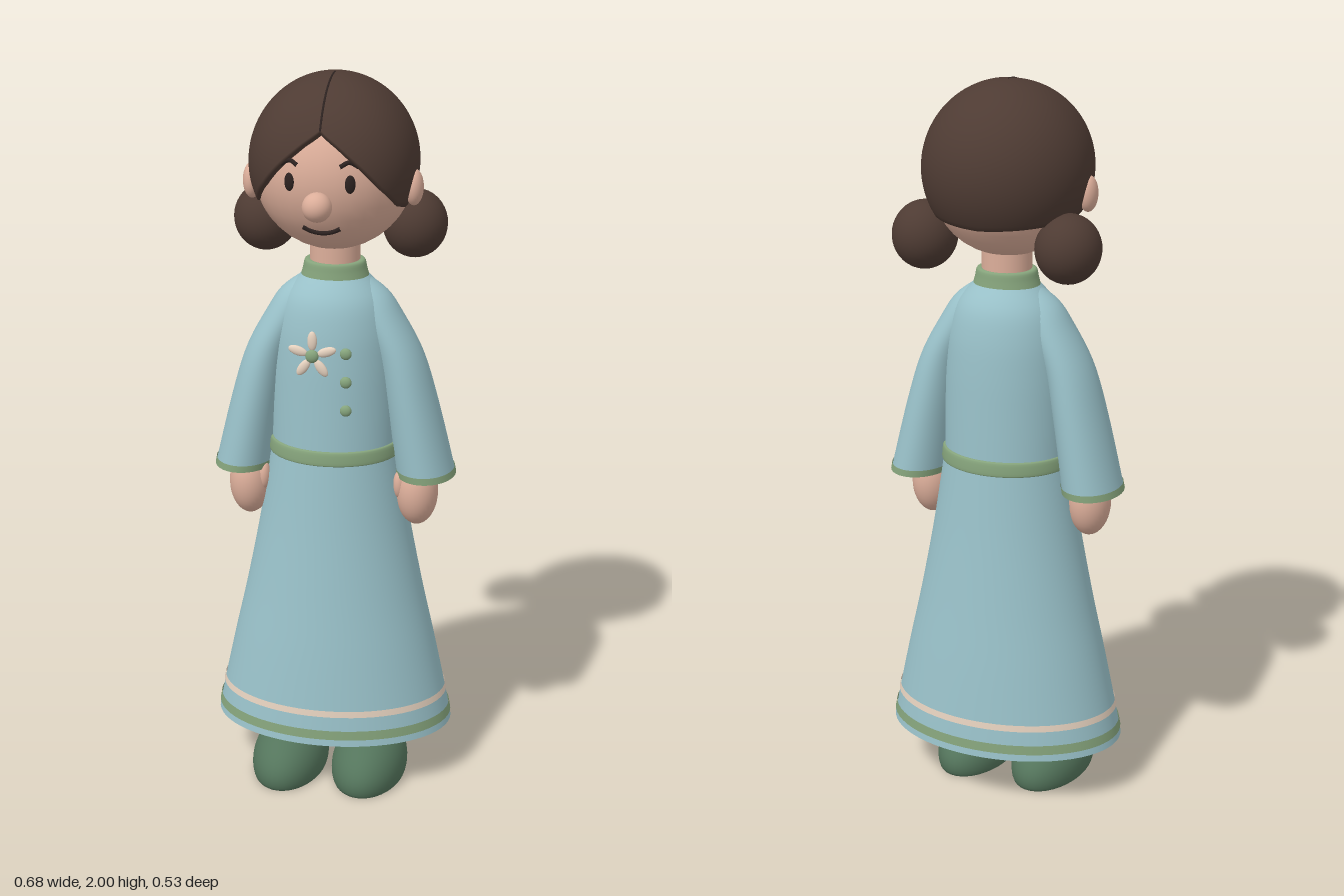
import * as THREE from 'three';

const mat = (name, color, double) => {
  const m = new THREE.MeshStandardMaterial({ color });
  m.name = name;
  if (double) m.side = THREE.DoubleSide;
  return m;
};

// Smooth closed grid: rows of points wrapped around an axis
function wrapGrid(rows, cols, point) {
  const pos = [], idx = [];
  for (let i = 0; i <= rows; i++)
    for (let j = 0; j < cols; j++) pos.push(...point(i / rows, j / cols));
  for (let i = 0; i < rows; i++)
    for (let j = 0; j < cols; j++) {
      const a = i * cols + j, b = i * cols + (j + 1) % cols;
      idx.push(a, a + cols, b, b, a + cols, b + cols);
    }
  const g = new THREE.BufferGeometry();
  g.setAttribute('position', new THREE.Float32BufferAttribute(pos, 3));
  g.setIndex(idx);
  g.computeVertexNormals();
  return g;
}

// Loft through elliptical rings [y, centreX, radiusX, centreZ, radiusZ], listed bottom to top
function loft(rings, rows = 24) {
  const curves = [1, 2, 3, 4].map(k =>
    new THREE.SplineCurve(rings.map(r => new THREE.Vector2(r[0], r[k]))));
  return wrapGrid(rows, 64, (u, v) => {
    const [cx, rx, cz, rz] = curves.map(c => c.getPoint(u).y);
    const a = v * Math.PI * 2;
    return [cx + rx * Math.cos(a), curves[0].getPoint(u).x, cz + rz * Math.sin(a)];
  });
}

export function createModel() {
  const model = new THREE.Group();
  model.name = 'girl';
  const skin = mat('skin', 0xdcae9a);
  const hair = mat('hair', 0x4e3b33, true);
  const dress = mat('dress blue', 0x9ac2ca, true);
  const trim = mat('trim green', 0x86a47c, true);
  const shoe = mat('shoe green', 0x54755c);
  const cream = mat('cream', 0xe6d2bf, true);
  const dark = mat('dark features', 0x2c2220);

  const add = (name, geo, material, parent = model) => {
    const m = new THREE.Mesh(geo, material);
    m.name = name;
    parent.add(m);
    return m;
  };
  const ball = (name, material, p, s, parent = model) => {
    const m = add(name, new THREE.SphereGeometry(1, 32, 20), material, parent);
    m.position.set(...p);
    m.scale.set(...s);
    return m;
  };
  const tube = (name, pts, r, material) =>
    add(name, new THREE.TubeGeometry(new THREE.CatmullRomCurve3(pts), 24, r, 8), material);

  // Dress
  add('skirt', loft([
    [0.15, 0, 0.335, -0.02, 0.24], [0.25, 0, 0.315, -0.02, 0.23], [0.4, 0, 0.283, -0.02, 0.214],
    [0.56, 0, 0.247, -0.02, 0.195], [0.76, 0, 0.208, -0.02, 0.173], [0.97, 0, 0.175, -0.02, 0.153]]), dress);
  add('bodice', loft([
    [0.97, 0, 0.173, -0.02, 0.15], [1.1, 0, 0.172, -0.02, 0.148], [1.22, 0, 0.169, -0.02, 0.145],
    [1.32, 0, 0.16, -0.02, 0.137], [1.4, 0, 0.135, -0.02, 0.117], [1.465, 0, 0.08, -0.02, 0.072]]), dress);
  add('belt', loft([[0.952, 0, 0.177, -0.02, 0.155], [0.956, 0, 0.182, -0.02, 0.16],
    [0.988, 0, 0.179, -0.02, 0.157], [0.992, 0, 0.171, -0.02, 0.149]], 12), trim);
  add('hemGreenBand', loft([[0.17, 0, 0.334, -0.02, 0.241], [0.196, 0, 0.329, -0.02, 0.2385]], 2), trim);
  add('hemCreamBand', loft([[0.236, 0, 0.321, -0.02, 0.2345], [0.254, 0, 0.317, -0.02, 0.2325]], 2), cream);
  add('collar', loft([[1.445, 0, 0.094, -0.02, 0.082], [1.47, 0, 0.087, -0.02, 0.078],
    [1.493, 0, 0.081, -0.02, 0.074], [1.495, 0, 0.065, -0.02, 0.062]], 12), trim);
  const neck = add('neck', new THREE.CylinderGeometry(0.068, 0.068, 0.15, 32), skin);
  neck.position.set(0, 1.51, -0.02);

  // Head, nose and mouth
  const HY = 1.745, HZ = -0.01, HR = 0.215;
  const onFace = (x, y, off = 0) =>
    new THREE.Vector3(x, y, HZ + Math.sqrt((HR + off) ** 2 - x * x - (y - HY) ** 2));
  ball('head', skin, [0, HY, HZ], [HR, HR, HR]);
  ball('nose', skin, [0, 1.695, 0.226], [0.039, 0.039, 0.039]);
  tube('mouth', [-0.05, -0.027, 0, 0.027, 0.05].map(x => onFace(x, 1.61 + 6 * x * x, 0.002)), 0.006, dark);

  // Hair cap, trimmed to a parted fringe and tucked in along its edge
  const edge = [[0, 61], [13, 71], [26, 83], [42, 99], [60, 113], [80, 119], [180, 124]];
  const edgeAngle = deg => {
    const k = Math.max(1, edge.findIndex(e => e[0] >= deg));
    const [a, b] = [edge[k - 1], edge[k]];
    return a[1] + (b[1] - a[1]) * (deg - a[0]) / (b[0] - a[0]);
  };
  const ROWS = 33;
  add('hairCap', wrapGrid(ROWS, 120, (u, v) => {
    const az = v * Math.PI * 2, deg = v > 0.5 ? 360 - v * 360 : v * 360;
    const th = Math.min(1, u * ROWS / (ROWS - 1)) * edgeAngle(deg) * Math.PI / 180;
    const bulge = deg < 90 ? 1 + 0.045 * Math.sin(2 * az) ** 2 * Math.sin(th) ** 2 : 1;
    const r = 0.233 * bulge * (u > 0.999 ? 0.88 : 1);
    return [r * 0.97 * Math.sin(th) * Math.sin(az), 1.767 + r * Math.cos(th),
      -0.018 + r * Math.sin(th) * Math.cos(az)];
  }), hair);
  const part = [];
  for (let d = 0; d <= 60; d += 10) {
    const t = d * Math.PI / 180;
    part.push(new THREE.Vector3(0, 1.766 + 0.232 * Math.cos(t), -0.018 + 0.232 * Math.sin(t)));
  }
  tube('hairParting', part, 0.0035, dark);

  // Mirrored parts
  for (const s of [1, -1]) {
    const side = s > 0 ? 'left' : 'right';
    const name = n => side + n;
    const eye = ball(name('Eye'), dark, onFace(s * 0.08, 1.75, 0.001).toArray(), [0.014, 0.024, 0.007]);
    eye.rotation.y = s * 0.38;
    tube(name('Brow'), [[0.055, 1.797], [0.078, 1.808], [0.102, 1.796]]
      .map(([x, y]) => onFace(s * x, y, 0.012)), 0.006, dark);
    ball(name('Ear'), skin, [s * 0.218, 1.708, 0.013], [0.025, 0.049, 0.034]);
    ball(name('Bun'), hair, [s * 0.205, 1.583, -0.095], [0.088, 0.093, 0.094]);

    add(name('Sleeve'), loft([
      [0.9, s * 0.255, 0.08, -0.023, 0.108], [1.1, s * 0.216, 0.07, -0.02, 0.1],
      [1.24, s * 0.18, 0.063, -0.018, 0.09], [1.35, s * 0.125, 0.06, -0.018, 0.076],
      [1.41, s * 0.09, 0.055, -0.018, 0.058], [1.455, s * 0.055, 0.03, -0.02, 0.03]]), dress);
    add(name('Cuff'), loft([[0.897, s * 0.2555, 0.082, -0.023, 0.11],
      [0.916, s * 0.252, 0.0815, -0.023, 0.1095]], 2), trim);
    ball(name('Hand'), skin, [s * 0.235, 0.85, 0.005], [0.058, 0.095, 0.066]);
    ball(name('Thumb'), skin, [s * 0.19, 0.875, 0.03], [0.018, 0.04, 0.022]);

    // Shoe: flattened below the sole line
    const g = new THREE.SphereGeometry(1, 40, 32);
    g.scale(0.105, 0.11, 0.187);
    g.translate(s * 0.115, 0.03, 0.05);
    const p = g.attributes.position;
    for (let i = 0; i < p.count; i++) p.setY(i, Math.max(0, p.getY(i)));
    g.computeVertexNormals();
    add(name('Shoe'), g, shoe);
  }

  // Flower brooch and buttons
  const flower = new THREE.Group();
  flower.name = 'flower';
  flower.position.set(-0.032, 1.265, 0.136);
  model.add(flower);
  for (let i = 0; i < 5; i++) {
    const a = Math.PI / 2 + i * Math.PI * 0.4;
    const petal = ball('petal', cream, [0.041 * Math.cos(a), 0.041 * Math.sin(a), 0], [0.027, 0.013, 0.008], flower);
    petal.rotation.z = a;
  }
  ball('flowerCentre', trim, [0, 0, 0.004], [0.018, 0.018, 0.011], flower);
  for (const y of [1.27, 1.19, 1.11]) ball('button', trim, [0.056, y, 0.12], [0.016, 0.016, 0.01]);

  return model;
}
